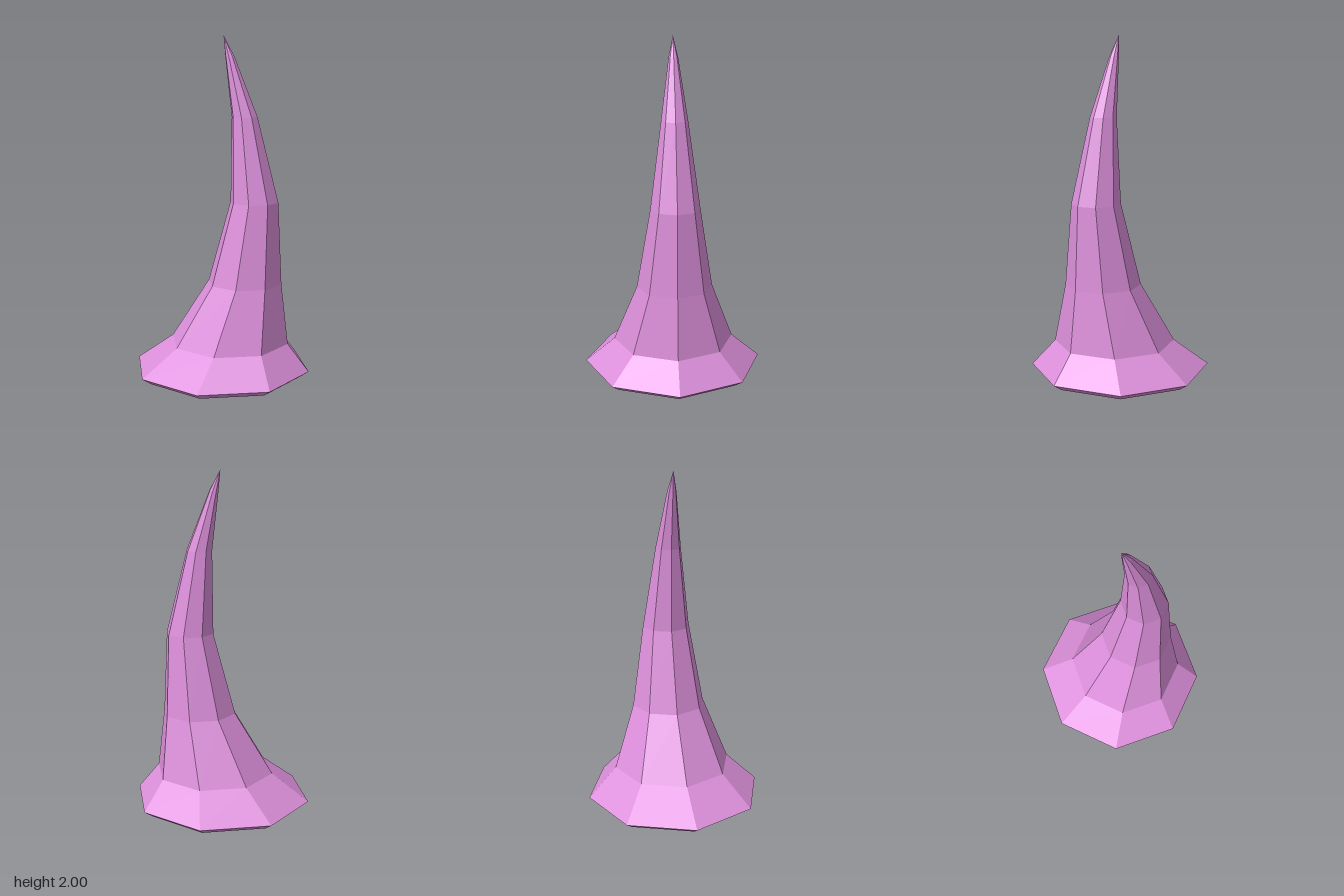
import * as THREE from 'three';

const SIDES = 8;

// Cross-sections from base to tip: [height, centre x, radius]
const RINGS = [
  [0, 0, 0],
  [0.012, 0, 0.475],
  [0.05, 0, 0.53],
  [0.21, 0.047, 0.355],
  [0.57, 0.14, 0.22],
  [1.05, 0.195, 0.142],
  [1.54, 0.135, 0.076],
  [1.88, 0.048, 0.027],
  [2, 0.01, 0],
];

// Joins the octagonal rings into one closed skin; zero-radius rings become points
function loftRings(rings) {
  const positions = [];
  const corner = ([y, cx, r], i) => {
    const a = ((i % SIDES) / SIDES) * Math.PI * 2;
    return [cx + r * Math.cos(a), y, r * Math.sin(a)];
  };
  for (let k = 0; k < rings.length - 1; k++) {
    const low = rings[k], high = rings[k + 1];
    for (let i = 0; i < SIDES; i++) {
      const a = corner(low, i), b = corner(low, i + 1);
      const c = corner(high, i + 1), d = corner(high, i);
      if (low[2] > 0) positions.push(...a, ...d, ...b);
      if (high[2] > 0) positions.push(...b, ...d, ...c);
    }
  }
  const geometry = new THREE.BufferGeometry();
  geometry.setAttribute('position', new THREE.Float32BufferAttribute(positions, 3));
  geometry.computeVertexNormals();
  return geometry;
}

export function createModel() {
  const group = new THREE.Group();
  group.name = 'curvedHorn';

  // Flared foot and bent, tapering horn in one skin
  const horn = new THREE.Mesh(
    loftRings(RINGS),
    new THREE.MeshStandardMaterial({ color: 0xdd90dc, flatShading: true })
  );
  horn.name = 'horn';
  group.add(horn);
  return group;
}
